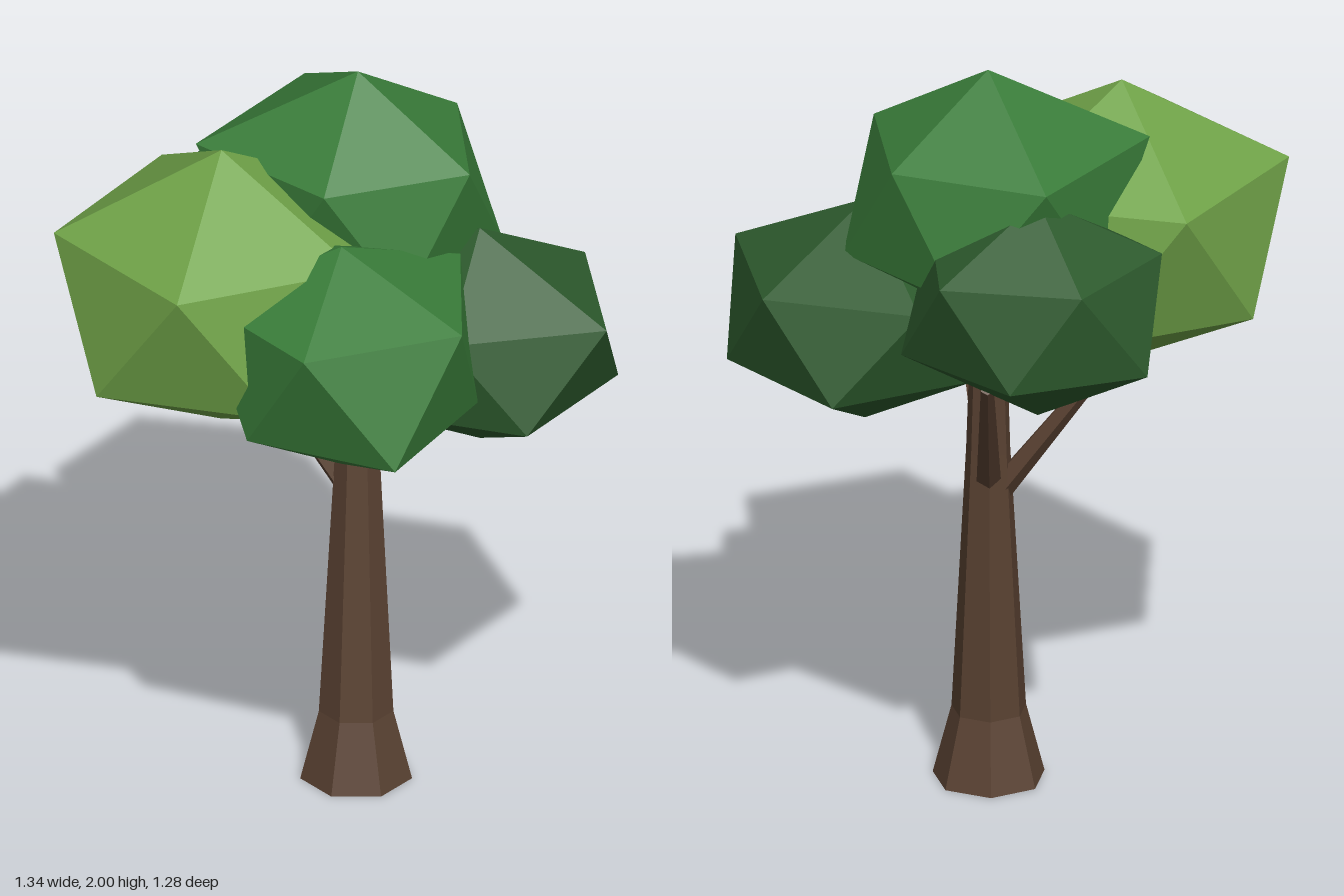
import * as THREE from 'three';

const colour = (name, hex) => {
  const m = new THREE.MeshStandardMaterial({ color: hex });
  m.name = name;
  return m;
};

// Unshared corners give every face its own flat normal
function facetedMesh(name, triangles, material) {
  const geometry = new THREE.BufferGeometry().setFromPoints(triangles);
  geometry.computeVertexNormals();
  const mesh = new THREE.Mesh(geometry, material);
  mesh.name = name;
  return mesh;
}

// Ring of points round the y axis; one radius per corner
const ring = (x, y, z, radii, turn = 0) => radii.map((r, i) => {
  const a = (i / radii.length) * Math.PI * 2 + turn;
  return new THREE.Vector3(x + r * Math.cos(a), y, z + r * Math.sin(a));
});

// Uneven icosahedron: [tip, upper ring, lower ring, bottom] heights and ring radii
function leafClump({ name, x, z, heights, upper, lower, material }) {
  const [yTop, yUp, yLow, yBottom] = heights;
  const top = new THREE.Vector3(x, yTop, z), bottom = new THREE.Vector3(x, yBottom, z);
  const u = ring(x, yUp, z, upper), l = ring(x, yLow, z, lower, Math.PI / 5);
  const t = [];
  for (let i = 0; i < 5; i++) {
    const j = (i + 1) % 5;
    t.push(top, u[j], u[i], u[i], u[j], l[i], l[i], u[j], l[j], bottom, l[i], l[j]);
  }
  return facetedMesh(name, t, material);
}

// Seven-sided trunk lofted through [x, y, z, radius] sections
function trunkMesh(sections, material) {
  const rings = sections.map(([x, y, z, r]) => ring(x, y, z, Array(7).fill(r)));
  const [x0, y0, z0] = sections[0], [x1, y1, z1] = sections.at(-1);
  const base = new THREE.Vector3(x0, y0, z0), tip = new THREE.Vector3(x1, y1, z1);
  const t = [];
  for (let i = 0; i < 7; i++) {
    const j = (i + 1) % 7;
    for (let k = 0; k < rings.length - 1; k++) {
      const a = rings[k], b = rings[k + 1];
      t.push(b[i], b[j], a[i], a[i], b[j], a[j]);
    }
    t.push(base, rings[0][i], rings[0][j], tip, rings.at(-1)[j], rings.at(-1)[i]);
  }
  return facetedMesh('trunk', t, material);
}

// Tapered branch between two points
function branchMesh(name, from, to, material) {
  const a = new THREE.Vector3(...from), b = new THREE.Vector3(...to);
  const dir = b.clone().sub(a);
  const geometry = new THREE.CylinderGeometry(0.018, 0.034, dir.length(), 5).toNonIndexed();
  geometry.computeVertexNormals();
  const mesh = new THREE.Mesh(geometry, material);
  mesh.name = name;
  mesh.position.copy(a).lerp(b, 0.5);
  mesh.quaternion.setFromUnitVectors(new THREE.Vector3(0, 1, 0), dir.normalize());
  return mesh;
}

export function createModel() {
  const bark = colour('bark brown', 0x5a4232);
  const dark = colour('dark leaf green', 0x2d5a2d);
  const mid = colour('leaf green', 0x3a7d3a);
  const light = colour('light leaf green', 0x70a348);

  const tree = new THREE.Group();
  tree.name = 'tree';

  // Flared trunk, leaning slightly
  tree.add(trunkMesh([
    [0.094, 0, 0.02, 0.147],
    [0.094, 0.19, 0.02, 0.098],
    [0.122, 0.93, -0.01, 0.058],
    [0.138, 1.4, -0.03, 0.043],
  ], bark));

  // Branches
  tree.add(
    branchMesh('backRightwardBranch', [0.13, 0.84, -0.02], [0.34, 1.24, -0.26], bark),
    branchMesh('backLeftwardBranch', [0.1, 0.82, -0.03], [-0.08, 1.24, -0.28], bark),
    branchMesh('frontBranch', [0.11, 0.9, 0.01], [0.02, 1.24, 0.21], bark),
  );

  // Leaf clumps
  const clumps = [
    { name: 'topLeaves', x: 0.14, z: -0.03, heights: [2, 1.8, 1.5, 1.28], material: mid,
      upper: [0.325, 0.343, 0.33, 0.416, 0.389], lower: [0.372, 0.34, 0.3, 0.34, 0.36] },
    { name: 'lightLeaves', x: -0.26, z: -0.09, heights: [1.88, 1.65, 1.3, 1.1], material: light,
      upper: [0.43, 0.42, 0.43, 0.43, 0.433], lower: [0.41, 0.41, 0.41, 0.394, 0.41] },
    { name: 'frontLeaves', x: -0.15, z: 0.265, heights: [1.71, 1.56, 1.25, 1.08], material: mid,
      upper: [0.39, 0.37, 0.366, 0.36, 0.36], lower: [0.35, 0.39, 0.31, 0.35, 0.35] },
    { name: 'lowLeaves', x: 0.32, z: 0.245, heights: [1.6, 1.415, 1.165, 0.99], material: dark,
      upper: [0.345, 0.389, 0.31, 0.35, 0.363], lower: [0.355, 0.343, 0.32, 0.33, 0.361] },
    { name: 'backLeaves', x: 0.23, z: -0.33, heights: [1.76, 1.6, 1.34, 1.16], material: dark,
      upper: [0.33, 0.32, 0.32, 0.32, 0.296], lower: [0.351, 0.33, 0.32, 0.33, 0.304] },
  ];
  clumps.forEach((c) => tree.add(leafClump(c)));
  return tree;
}
